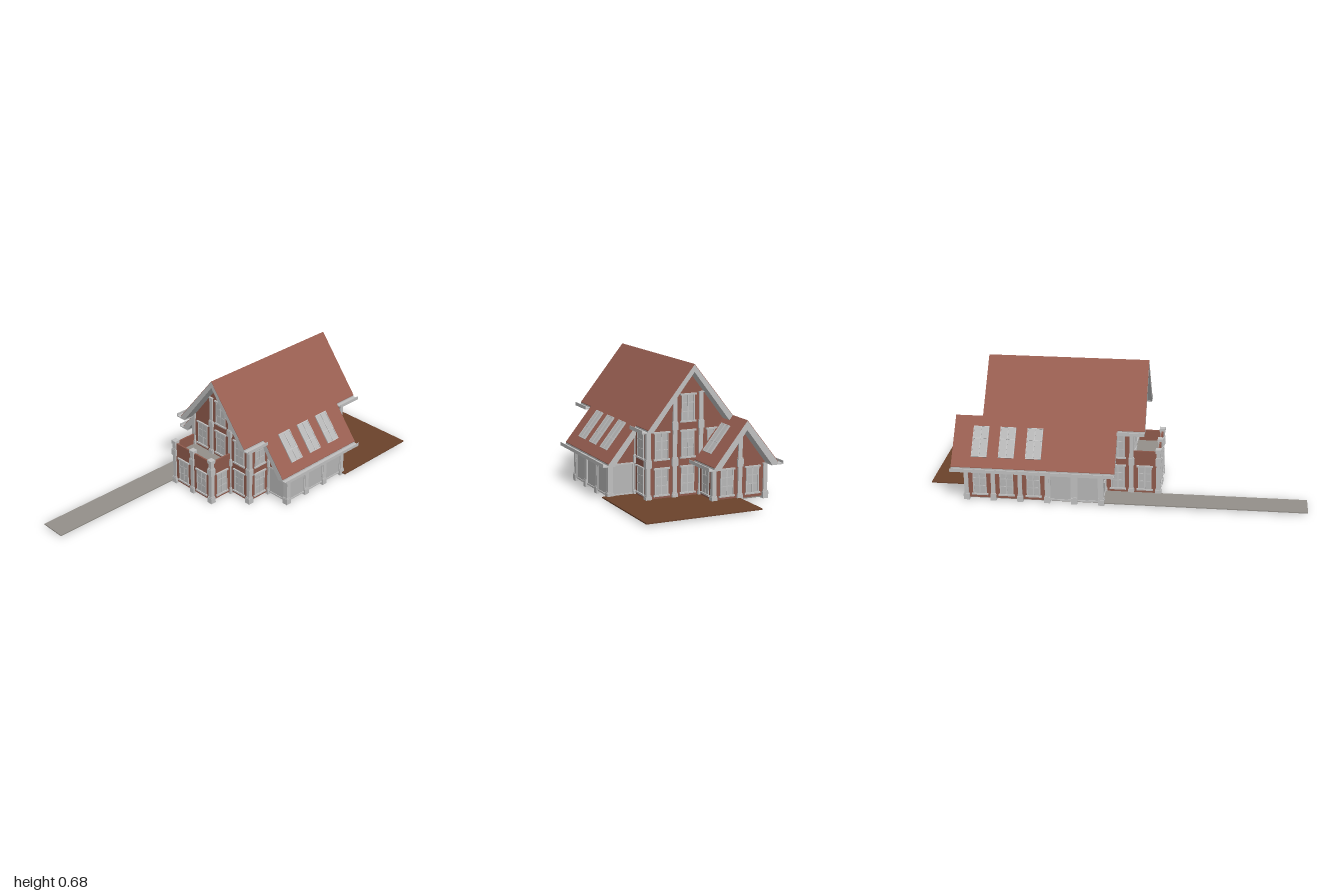
import * as THREE from 'three';

const M = 0.142;                         // structural bay size
const X = (i) => i * M;
const Z = (j) => 0.08 - j * M;           // j = 0 is the main front, 5 the main back
const W = 0.004;                         // wall face beyond the column axis
const top = (u) => 0.675 - 1.245 * u;    // roof surface at distance u from the ridge
const under = (u) => 0.639 - 1.29 * u;   // roof underside

const mat = (name, color) => {
  const m = new THREE.MeshStandardMaterial({ color });
  m.name = name;
  return m;
};

export function createModel() {
  const model = new THREE.Group();
  model.name = 'house';
  const trim = mat('grey trim', 0xc0c0c0);
  const glass = mat('window grey', 0xb6b6b6);
  const brick = mat('brick red', 0x8f5a4c);
  const tile = mat('roof red', 0x985e51);
  const stone = mat('paving grey', 0x94908a);
  const earth = mat('earth brown', 0x6b422b);

  const add = (name, geo, material, parent = model) => {
    const mesh = new THREE.Mesh(geo, material);
    mesh.name = name;
    parent.add(mesh);
    return mesh;
  };
  // box given by its limits
  const box = (name, x0, x1, y0, y1, z0, z1, material, parent) =>
    add(name, new THREE.BoxGeometry(Math.abs(x1 - x0), y1 - y0, Math.abs(z1 - z0)), material, parent)
      .position.set((x0 + x1) / 2, (y0 + y1) / 2, (z0 + z1) / 2);
  // x-y outline drawn out between two z values
  const prism = (name, pts, zFront, zBack, material) => {
    const shape = new THREE.Shape(pts.map((p) => new THREE.Vector2(p[0], p[1])));
    const geo = new THREE.ExtrudeGeometry(shape, { depth: zFront - zBack, bevelEnabled: false });
    geo.translate(0, 0, zBack);
    return add(name, geo, material);
  };
  // group on a wall: dir 0 front, 1 left (+x), 2 back, 3 right (-x)
  const onWall = (name, x, z, dir) => {
    const g = new THREE.Group();
    g.name = name;
    g.position.set(x, 0, z);
    g.rotation.y = dir * Math.PI / 2;
    model.add(g);
    return g;
  };

  // Walls
  const a = 1.5 * M + W, base = 0.012;
  prism('mainWalls', [[-a, base], [a, base], [a, 0.365], [0, 0.642], [-a, 0.365]], Z(0) + W, Z(5) - W, brick);
  const c = X(-1.5), e = M + W;
  prism('rearWingWalls', [[c - e, base], [c + e, base], [c + e, 0.18], [c, 0.367], [c - e, 0.18]], Z(5), Z(6) - W, brick);
  for (const [s, back] of [[1, 4], [-1, 6]])
    prism('sideGableWall', [[s * 0.2, 0.175], [s * 0.356, 0.175], [s * 0.2, 0.383]], Z(1) + W, Z(back) - W + (back === 6 ? 0.002 : 0), brick);
  box('rightWingWalls', X(-2.5) - W, X(-1.4), base, 0.178, Z(3), Z(6), brick);
  box('garageWalls', X(-2.5) - W, X(-1.4), base, 0.178, Z(1) + W, Z(3), glass);
  box('leftWingWalls', X(1.4), X(2.5) + W, base, 0.178, Z(1) + W, Z(4) - W, glass);

  // Front bay with balcony
  box('bayWalls', X(-1.5) - W, X(0.5) + W, base, 0.185, Z(0), Z(-1) + W, brick);
  box('balconyFloor', X(-1.5), X(0.5), 0.185, 0.19, Z(0), Z(-1), stone);
  box('parapetFront', X(-1.5), X(0.5), 0.185, 0.25, Z(-1) - 0.005, Z(-1) + W, brick);
  for (const [i, s] of [[-1.5, -1], [0.5, 1]])
    box('parapetSide', X(i) + s * W, X(i) - s * 0.005, 0.185, 0.25, Z(0), Z(-1), brick);

  // Columns
  const block = (name, i, j, h, y0, y1) =>
    box(name, X(i) - h, X(i) + h, y0, y1, Z(j) - h, Z(j) + h, trim);
  const column = (i, j, y0, y1) => {
    block('columnShaft', i, j, 0.011, y0, y1);
    block('columnCollar', i, j, 0.0135, y0, y0 + 0.006);
    block('columnCapital', i, j, 0.0145, y1 - 0.006, y1);
  };
  const ground = [
    [-1.5, -1], [-0.5, -1], [0.5, -1], [-1.5, 0], [-0.5, 0], [0.5, 0], [1.5, 0],
    [-2.5, 1], [-1.5, 1], [1.5, 1], [2.5, 1], [2.5, 2], [2.5, 3], [2.5, 4], [1.5, 4],
    [-2.5, 2], [-2.5, 3], [-2.5, 4], [-2.5, 5], [-2.5, 6], [-1.5, 6], [-0.5, 6],
    [-0.5, 5], [0.5, 5], [1.5, 5]];
  for (const [i, j] of ground) {
    block('columnBase', i, j, 0.0155, 0, 0.032);
    column(i, j, 0.032, 0.178);
  }
  const upper = [[-1.5, 1], [1.5, 1], [1.5, 4], [-1.5, 6]];
  for (const j of [0, 5]) for (const i of [-1.5, -0.5, 0.5, 1.5]) upper.push([i, j]);
  for (const [i, j] of upper) {
    block('floorBlock', i, j, 0.0155, 0.175, 0.21);
    column(i, j, 0.21, 0.357);
    if (j === 0 || j === 5) block('eaveBlock', i, j, 0.0155, 0.357, 0.387);
    if (Math.abs(i) < 1 && (j === 0 || j === 5)) column(i, j, 0.387, 0.533);
  }
  for (const i of [-1.5, -0.5, 0.5]) {
    block('floorBlock', i, -1, 0.0155, 0.175, 0.21);
    column(i, -1, 0.21, 0.25);
    block('balconyCap', i, -1, 0.0155, 0.25, 0.265);
  }

  // Windows: pane, frame, bars, sill and lintel
  const windowAt = (x, z, dir, y0) => {
    const g = onWall('window', x, z, dir);
    const y1 = y0 + 0.132, h = 0.036;
    box('pane', -h, h, y0, y1, 0, W + 0.002, glass, g);
    for (const s of [-1, 1]) box('frameSide', s * h, s * (h - 0.006), y0, y1, 0, W + 0.005, trim, g);
    box('centreBar', -0.003, 0.003, y0, y1, 0, W + 0.004, trim, g);
    for (const t of [0.35, 0.68]) box('crossBar', -h, h, y0 + t * 0.132 - 0.002, y0 + t * 0.132 + 0.002, 0, W + 0.0035, trim, g);
    box('sill', -0.043, 0.043, y0 - 0.006, y0 + 0.002, 0, W + 0.009, trim, g);
    box('lintel', -0.043, 0.043, y1 - 0.004, y1 + 0.004, 0, W + 0.009, trim, g);
  };
  const low = 0.034, mid = 0.212, high = 0.391;
  // [column index, row index, direction, sill heights]
  const windows = [
    [-1, -1, 0, [low]], [0, -1, 0, [low]], [0.5, -0.5, 1, [low]], [-1.5, -0.5, 3, [low]],
    [-1, 0, 0, [mid]], [0, 0, 0, [mid, high]], [1, 0, 0, [low, mid]],
    [1.5, 0.5, 1, [low, mid]], [-1.5, 0.5, 3, [low, mid]], [1.5, 4.5, 1, [low, mid]],
    [-0.5, 5.5, 1, [low]], [-2.5, 3.5, 3, [low]], [-2.5, 4.5, 3, [low]], [-2.5, 5.5, 3, [low]],
    [-2, 6, 2, [low]], [-1, 6, 2, [low]],
    [-1, 5, 2, [mid]], [0, 5, 2, [low, mid, high]], [1, 5, 2, [low, mid]]];
  for (const [i, j, d, sills] of windows) for (const y of sills) windowAt(X(i), Z(j), d, y);

  // Large wing panels with a raised border
  const panelAt = (i, j, dir) => {
    const g = onWall('wingPanel', X(i), Z(j), dir);
    for (const s of [-1, 1]) box('panelStile', s * 0.06, s * 0.053, 0.014, 0.176, 0, W + 0.004, trim, g);
    for (const y of [0.014, 0.168]) box('panelRail', -0.06, 0.06, y, y + 0.008, 0, W + 0.004, trim, g);
    return g;
  };
  const door = panelAt(-2, 1, 0);
  for (const s of [-1, 1]) box('doorHandle', s * 0.003, s * 0.014, 0.097, 0.101, 0, W + 0.007, trim, door);
  panelAt(2, 1, 0);
  panelAt(2, 4, 2);
  for (const j of [1.5, 2.5, 3.5]) panelAt(2.5, j, 1);
  for (const j of [1.5, 2.5]) panelAt(-2.5, j, 3);

  // Roof: grey slab with a thin red covering; map turns ridge distance into x
  const right = (u) => -u, left = (u) => u, rear = (u) => u - 3 * M;
  const roof = (map, u0, u1, eave, zf, zb) => {
    const slab = [[u0, top(u0)], [u1, top(u1)]];
    if (eave) slab.push([u1, eave], [(0.639 - eave) / 1.29, eave]);
    else slab.push([u1, under(u1)]);
    slab.push([u0, under(u0)]);
    prism('roofSlab', slab.map(([u, y]) => [map(u), y]), zf, zb, trim);
    const cover = [[u0, top(u0) + 0.003], [u1, top(u1) + 0.003], [u1, top(u1)], [u0, top(u0)]];
    prism('roofCovering', cover.map(([u, y]) => [map(u), y]), zf, zb, tile);
  };
  const zF = 0.151, zB = -0.701, wF = 0.009, rB = -0.844, r = 1.5 * M;
  for (const side of [left, right]) roof(side, 0, 0.244, 0.36, zF, zB);
  roof(left, 0.244, 0.388, 0.18, wF, -0.56);
  roof(right, 0.244, 0.388, 0.18, wF, rB);
  roof(right, r, 0.244, 0, zB, rB);
  roof(rear, r, 0.388, 0.18, Z(5), rB);

  // Gutters: flat tray with an upturned lip
  const gutter = (map, u, y, zf, zb) => {
    box('gutterTray', map(u - 0.035), map(u + 0.03), y - 0.003, y + 0.003, zf, zb, trim);
    box('gutterLip', map(u + 0.027), map(u + 0.03), y, y + 0.015, zf, zb, trim);
  };
  for (const side of [left, right]) gutter(side, 0.247, 0.361, zF, wF);
  gutter(left, 0.247, 0.361, -0.56, zB);
  gutter(left, 0.388, 0.181, wF, -0.56);
  gutter(right, 0.388, 0.181, wF, rB);
  gutter(rear, 0.388, 0.181, zB + 0.07, rB);

  // Skylights lying on the slopes
  const skylight = (map, j) => {
    const u = 0.301, g = new THREE.Group();
    g.name = 'skylight';
    g.position.set(map(u), top(u) + 0.003, Z(j));
    g.rotation.z = (map === right ? 1 : -1) * Math.atan(1.245);
    model.add(g);
    const h = 0.083;
    box('skylightPane', -h, h, 0, 0.004, -0.041, 0.041, glass, g);
    for (const z of [-0.041, -0.002, 0.037]) box('skylightBar', -h, h, 0, 0.007, z, z + 0.004, trim, g);
    for (const x of [-h, 0.015, h - 0.004]) box('skylightCrossBar', x, x + 0.004, 0, 0.007, -0.041, 0.041, trim, g);
  };
  for (const j of [1.5, 2.5, 3.5]) skylight(left, j);
  for (const j of [3.5, 4.5, 5.5]) skylight(right, j);
  skylight(rear, 5.5);

  // Foundation tiles with recessed centres
  const cells = [[-1, -0.5], [0, -0.5], [-1, 5.5], [-2, 5.5], [-2, 4.5]];
  for (let j = 0.5; j < 5; j++) for (const i of [-1, 0, 1]) cells.push([i, j]);
  for (const j of [1.5, 2.5, 3.5]) cells.push([-2, j], [2, j]);
  for (const [i, j] of cells) {
    const x = X(i), z = Z(j), h = 0.069, k = 0.05;
    box('foundationTile', x - h, x + h, 0.007, 0.013, z - h, z + h, stone);
    for (const s of [-1, 1]) {
      box('tileRib', x + s * k, x + s * 0.06, 0.002, 0.007, z - 0.06, z + 0.06, stone);
      box('tileRib', x - k, x + k, 0.002, 0.007, z + s * k, z + s * 0.06, stone);
    }
  }

  // Driveway and garden
  box('driveway', -0.365, -0.222, 0.01, 0.016, Z(1), 1, stone);
  const garden = [[-0.213, -1], [0.393, -1], [0.393, Z(4)], [X(1.5), Z(4)], [X(1.5), Z(5)],
    [X(-0.5), Z(5)], [X(-0.5), Z(6)], [X(-1.5), Z(6)]];
  const shape = new THREE.Shape(garden.map(([x, z]) => new THREE.Vector2(x, -z)));
  const lawn = add('garden', new THREE.ExtrudeGeometry(shape, { depth: 0.006, bevelEnabled: false }), earth);
  lawn.rotation.x = -Math.PI / 2;
  lawn.position.y = 0.01;

  return model;
}
